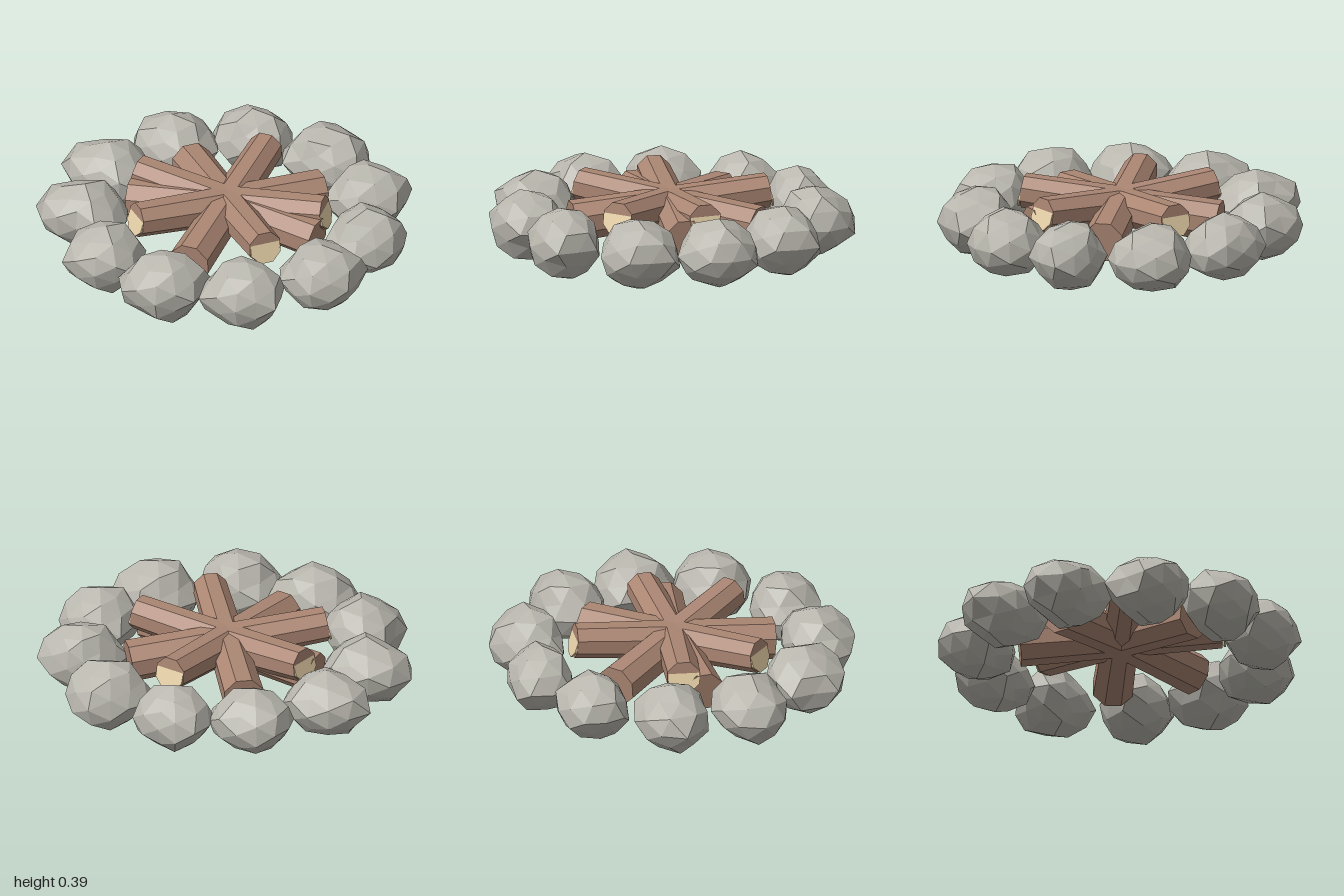
import * as THREE from 'three';

const flat = (name, color) => {
  const m = new THREE.MeshStandardMaterial({ color, flatShading: true });
  m.name = name;
  return m;
};

// Horizontal stone radii (hundredths) at the eight rim corners, one row per stone
const RIMS = [
  [21, 21, 23.5, 24.5, 20, 23.5, 21.5, 22],
  [21, 21.5, 21, 23, 23.5, 21.5, 22.5, 25.5],
  [19, 23, 21, 26.5, 25.5, 23.5, 18, 20.5],
  [21, 22, 21, 25, 27, 23.5, 18.5, 25],
  [20, 23, 21.5, 24.5, 20, 25.5, 22, 22],
  [23.5, 24.5, 16.5, 24, 27.5, 25.5, 22.5, 23.5],
  [23.5, 25.5, 18.5, 22, 27, 24, 21.5, 23.5],
  [26, 22, 17.5, 21, 21, 22, 20.5, 24.5],
  [22.5, 22.5, 16.5, 21.5, 22, 23, 17.5, 22],
  [24.5, 24, 17.5, 24, 24, 21, 23, 23.5],
  [21.5, 23, 22.5, 26, 20.5, 19.5, 16.5, 24],
];
const A = 0.5536;
const ANGLES = [0, A, Math.PI / 2, Math.PI - A, Math.PI, Math.PI + A, Math.PI * 1.5, Math.PI * 2 - A, Math.PI * 2];

// Rim radius at any angle, blended between neighbouring corners
function rimRadius(rim, x, z) {
  const a = (Math.atan2(z, x) + Math.PI * 2) % (Math.PI * 2);
  let i = 0;
  while (i < 7 && a > ANGLES[i + 1]) i++;
  const t = (a - ANGLES[i]) / (ANGLES[i + 1] - ANGLES[i]);
  return THREE.MathUtils.lerp(rim[i], rim[(i + 1) % 8], t) / 100;
}

// Faceted boulder; the same corner always gets the same small offset
function stoneGeometry(rim, seed) {
  const g = new THREE.IcosahedronGeometry(1, 1);
  const p = g.attributes.position;
  for (let i = 0; i < p.count; i++) {
    const [x, y, z] = [p.getX(i), p.getY(i), p.getZ(i)].map((v) => Math.round(v * 1000) / 1000 + 0);
    const upright = Math.abs(y) > 0.01 && Math.abs(y) < 0.99;
    const wobble = upright ? 0.95 + 0.07 * Math.sin(x * 37 + y * 23 + z * 51 + seed * 7) : 1;
    const r = rimRadius(rim, x, z) * wobble;
    p.setXYZ(i, x * r, y * 0.19 * wobble, z * r);
  }
  g.computeVertexNormals();
  return g;
}

export function createModel() {
  const stoneMat = flat('stone grey', 0xb8b6ad);
  const barkMat = flat('bark brown', 0xab8673);
  const cutMat = flat('cut wood tan', 0xe8d2a8);

  const model = new THREE.Group();
  model.name = 'campfire';

  // Ring of stones
  const ring = new THREE.Group();
  ring.name = 'stoneRing';
  RIMS.forEach((rim, k) => {
    const a = (k / RIMS.length) * Math.PI * 2;
    const stone = new THREE.Mesh(stoneGeometry(rim, k), stoneMat);
    stone.name = 'stone';
    stone.position.set(0.02 + 0.77 * Math.cos(a), 0.193, -0.02 + 0.77 * Math.sin(a));
    ring.add(stone);
  });
  model.add(ring);

  // Crossed logs, each sloping up towards its pale cut end
  const alongX = (g) => g.rotateY(Math.PI / 8).rotateZ(-Math.PI / 2);
  const barkGeo = alongX(new THREE.CylinderGeometry(0.094, 0.114, 1.08, 8));
  // The cut disc leans back, so only its lower half stands clear of the log
  const cutGeo = alongX(new THREE.CylinderGeometry(0.09, 0.09, 0.01, 8)).rotateZ(0.2).translate(0.54, 0, 0);
  for (const degrees of [-85, -1, 51, 138, 190.5]) {
    const log = new THREE.Group();
    log.name = 'log';
    const bark = new THREE.Mesh(barkGeo, barkMat);
    bark.name = 'logBark';
    const cut = new THREE.Mesh(cutGeo, cutMat);
    cut.name = 'logCutEnd';
    log.add(bark, cut);
    log.position.set(0.013, 0.258, -0.02);
    log.rotation.set(0, -THREE.MathUtils.degToRad(degrees), 0.09, 'YZX');
    model.add(log);
  }
  return model;
}
